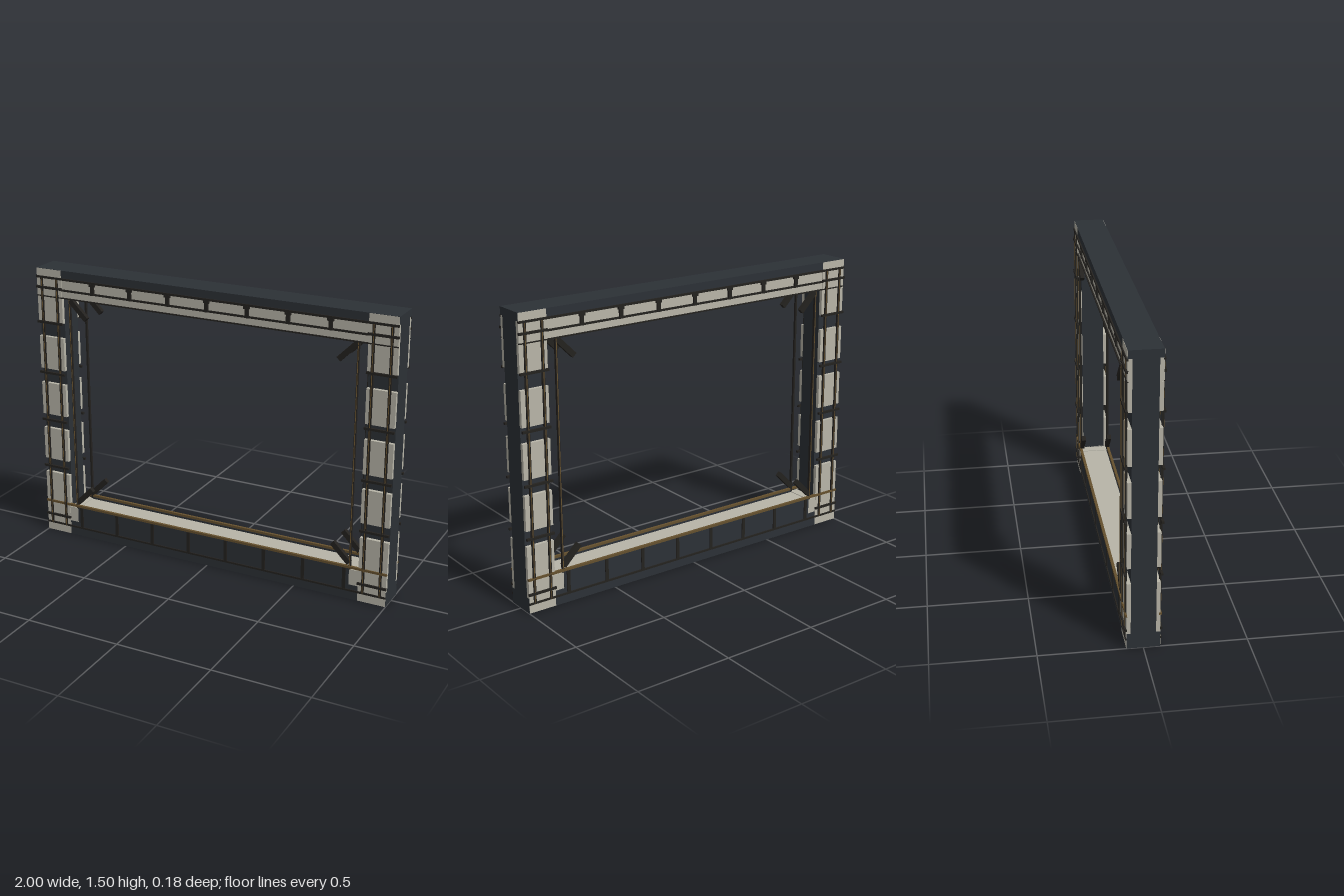
import * as THREE from 'three';

const mat = (color) => new THREE.MeshStandardMaterial({ color });
const light = mat(0xb8b5a8), dark = mat(0x2c3136), rodDark = mat(0x24221f), bronze = mat(0x65502e);

export function createModel() {
  const root = new THREE.Group();
  root.name = 'rectangularFrame';

  // Box given by its minimum and maximum on each axis
  const box = (name, x0, x1, y0, y1, z0, z1, m, parent = root) => {
    const mesh = new THREE.Mesh(new THREE.BoxGeometry(x1 - x0, y1 - y0, z1 - z0), m);
    mesh.position.set((x0 + x1) / 2, (y0 + y1) / 2, (z0 + z1) / 2);
    mesh.name = name;
    parent.add(mesh);
    return mesh;
  };

  // Top beam: dark cap over a light soffit
  box('topBeamCap', -1, 1, 1.46, 1.5, -0.08, 0.08, dark);
  box('topBeamSoffit', -0.85, 0.85, 1.35, 1.46, -0.077, 0.077, light);

  // Bottom beam: dark base with a light sill on top
  box('bottomBeamBase', -1, 1, 0, 0.08, -0.08, 0.08, dark);
  box('bottomBeamCore', -0.8, 0.8, 0.08, 0.15, -0.074, 0.074, dark);
  box('bottomSill', -0.84, 0.84, 0.15, 0.162, -0.074, 0.074, light);

  // Columns and corner blocks
  for (const s of [-1, 1]) {
    const column = new THREE.Group();
    column.name = s > 0 ? 'leftColumn' : 'rightColumn';
    root.add(column);
    const sideBox = (name, xa, xb, y0, y1, z0, z1, m) =>
      box(name, Math.min(s * xa, s * xb), Math.max(s * xa, s * xb), y0, y1, z0, z1, m, column);
    sideBox('columnCore', 0.85, 1, 0.002, 1.498, -0.06, 0.06, dark);
    sideBox('topCornerBlock', 0.85, 0.999, 1.35, 1.499, -0.081, 0.081, light);
    sideBox('bottomCornerBlock', 0.85, 0.999, 0.001, 0.17, -0.081, 0.081, light);
    sideBox('cornerStub', 0.8, 0.85, 0.08, 0.165, -0.079, 0.079, light);
  }

  // Everything on the front face is repeated on the back
  for (const f of [1, -1]) {
    const face = new THREE.Group();
    face.name = f > 0 ? 'frontTrim' : 'backTrim';
    face.rotation.y = f > 0 ? 0 : Math.PI;
    root.add(face);
    const trim = (name, x0, x1, y0, y1, z0, z1, m) => box(name, x0, x1, y0, y1, z0, z1, m, face);

    // Fascia of the bottom beam with ribs and rails
    trim('bottomFascia', -0.8, 0.8, 0.06, 0.172, 0.07, 0.08, dark);
    for (const x of [0.11, 0.33, 0.55, 0.775])
      for (const s of [-1, 1])
        trim('bottomRib', s * x - 0.009, s * x + 0.009, 0.055, 0.17, 0.08, 0.085, rodDark);
    trim('bottomUpperRail', -1, 1, 0.172, 0.184, 0.072, 0.086, bronze);
    trim('bottomLowerRail', -1, 1, 0.045, 0.055, 0.08, 0.086, rodDark);

    // Top beam rails, hangers and recessed panel edges
    trim('topUpperRail', -1, 1, 1.449, 1.46, 0.077, 0.087, rodDark);
    trim('topMiddleRail', -0.85, 0.85, 1.39, 1.4, 0.077, 0.083, rodDark);
    trim('topLowerRail', -1, 1, 1.35, 1.356, 0.077, 0.084, rodDark);
    for (let i = -3; i <= 3; i++) {
      trim('topRib', i * 0.22 - 0.01, i * 0.22 + 0.01, 1.39, 1.449, 0.077, 0.086, rodDark);
      trim('topRibCap', i * 0.22 - 0.016, i * 0.22 + 0.016, 1.436, 1.449, 0.077, 0.088, rodDark);
    }

    for (const s of [-1, 1]) {
      const xa = s > 0 ? 0.85 : -1, xb = xa + 0.15;
      // Light cladding panels with gaps showing the dark core
      for (let i = 0; i < 5; i++)
        trim('claddingPanel', xa, xb, 0.17 + i * 0.26, i < 4 ? 0.35 + i * 0.26 : 1.35, 0.06, 0.079, light);
      // Horizontal tie bars
      for (const y of [0.1, 0.39, 0.66, 0.93, 1.21, 1.4])
        trim('tieBar', xa - 0.002, xb + 0.002, y - 0.006, y + 0.006, 0.078, 0.09, rodDark);
      // Vertical rods, each with a bronze edge
      for (const x of [0.877, 0.968]) {
        trim('verticalRod', s * x - 0.007, s * x + 0.007, 0.045, 1.455, 0.076, 0.086, rodDark);
        trim('rodEdge', s * x - 0.002, s * x + 0.002, 0.05, 1.45, 0.084, 0.0875, bronze);
      }
      // Slim inner post standing clear of the column
      trim('innerPost', s * 0.803 - 0.005, s * 0.803 + 0.005, 0.165, 1.35, 0.07, 0.082, rodDark);
      trim('innerPostEdge', s * 0.803 - 0.002, s * 0.803 + 0.002, 0.17, 1.35, 0.08, 0.084, bronze);
      // Diagonal corner braces
      for (const [y, d] of [[1.3, 1], [0.245, -1]]) {
        const brace = trim('cornerBrace', -0.066, 0.066, -0.014, 0.014, 0.062, 0.084, rodDark);
        brace.position.x = s * 0.752;
        brace.position.y = y;
        brace.rotation.z = s * d * Math.PI / 4;
      }
    }
  }
  return root;
}
